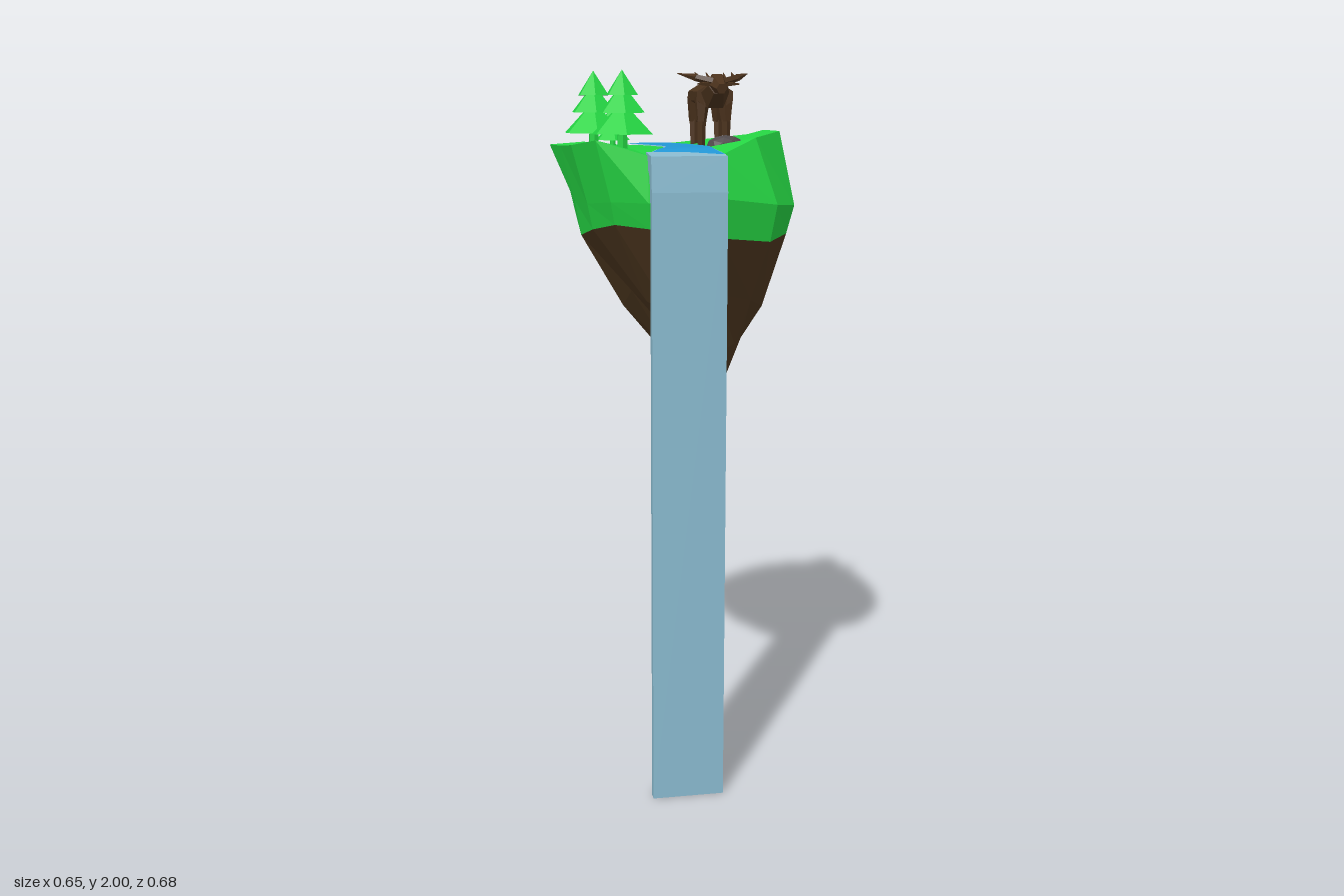
import * as THREE from 'three';

const mat = (name, color, extra = {}) => {
  const m = new THREE.MeshStandardMaterial({ color, flatShading: true, ...extra });
  m.name = name;
  return m;
};

export function createModel() {
  const root = new THREE.Group();
  root.name = 'floatingIsland';
  const grass = mat('grass green', 0x25d543);
  const earth = mat('earth brown', 0x4f3820);
  const hide = mat('hide brown', 0x4c331d);
  const water = mat('river blue', 0x2297d6, { side: THREE.DoubleSide });
  const foam = mat('waterfall blue', 0x8abbd0, { side: THREE.DoubleSide });
  const stone = mat('stone grey', 0x504a4c);

  const add = (parent, name, geo, material) => {
    const m = new THREE.Mesh(geo, material);
    m.name = name;
    parent.add(m);
    return m;
  };

  // Skin through closed rings, listed from top to bottom
  const loft = (rings) => {
    const p = [];
    for (let r = 0; r + 1 < rings.length; r++) {
      const a = rings[r], b = rings[r + 1], n = a.length;
      for (let i = 0; i < n; i++) {
        const j = (i + 1) % n;
        p.push(...a[i], ...a[j], ...b[i], ...a[j], ...b[j], ...b[i]);
      }
    }
    const g = new THREE.BufferGeometry();
    g.setAttribute('position', new THREE.Float32BufferAttribute(p, 3));
    g.computeVertexNormals();
    return g;
  };

  // Island rings
  const rim = [
    [-0.325, 1.80, -0.13], [-0.22, 1.805, -0.21], [-0.12, 1.795, -0.28], [-0.02, 1.79, -0.322],
    [0.09, 1.80, -0.325], [0.165, 1.81, -0.285], [0.26, 1.825, -0.177], [0.277, 1.84, -0.05],
    [0.28, 1.84, 0.12], [0.19, 1.825, 0.22], [0.08, 1.78, 0.28], [-0.11, 1.782, 0.275],
    [-0.24, 1.82, 0.226], [-0.292, 1.805, 0.12], [-0.308, 1.80, -0.01],
  ];
  const belly = [
    [-0.27, 1.67, -0.12], [-0.20, 1.66, -0.22], [-0.137, 1.67, -0.30], [-0.02, 1.65, -0.325],
    [0.095, 1.66, -0.34], [0.165, 1.67, -0.335], [0.25, 1.66, -0.20], [0.285, 1.66, -0.05],
    [0.323, 1.64, 0.13], [0.245, 1.65, 0.25], [0.09, 1.67, 0.305], [-0.11, 1.66, 0.29],
    [-0.20, 1.66, 0.22], [-0.25, 1.65, 0.12], [-0.27, 1.65, 0],
  ];
  const toward = (ring, t, cx, cz, y) => ring.map(([px, , pz], i) =>
    [px + (cx - px) * t, y(i), pz + (cz - pz) * t]);
  const centre = toward(rim, 1, 0, 0, () => 1.79);
  const meadow = toward(rim, 0.5, 0, 0, () => 1.792);
  const seam = toward(belly, 0.06, 0, -0.02, (i) => 1.575 + 0.025 * Math.sin(i * 1.1 + 1.2));
  const mid = toward(seam, 0.31, 0.13, -0.05, (i) => 1.38 + 0.03 * Math.sin(i * 2.1));
  const low = toward(seam, 0.6, 0.13, -0.035, (i) => 1.24 + 0.02 * Math.sin(i * 1.7));
  const foot = toward(seam, 0.83, 0.13, -0.025, () => 1.137);
  const tip = toward(seam, 1, 0.13, -0.025, () => 1.132);
  add(root, 'grassTop', loft([centre, meadow, rim, belly, seam]), grass);
  add(root, 'earthBase', loft([seam, mid, low, foot, tip]), earth);

  // River ribbon: [left x, z, right x, z, height]
  const course = [
    [-0.11, -0.285, -0.01, -0.322, 1.798], [-0.09, -0.22, 0.035, -0.245, 1.8],
    [-0.08, -0.17, 0.065, -0.155, 1.8], [-0.055, -0.06, 0.08, -0.055, 1.8],
    [-0.03, 0.07, 0.09, 0.06, 1.8], [-0.04, 0.155, 0.085, 0.155, 1.8],
    [-0.07, 0.21, 0.078, 0.215, 1.797], [-0.105, 0.262, 0.09, 0.293, 1.786],
  ];
  const ribbon = (grow, drop) => {
    const p = [], idx = [];
    course.forEach(([lx, lz, rx, rz, y], i) => {
      p.push(lx - grow, y - drop, lz, rx + grow, y - drop, rz);
      const k = i * 2;
      if (i) idx.push(k - 2, k, k - 1, k - 1, k, k + 1);
    });
    const g = new THREE.BufferGeometry();
    g.setAttribute('position', new THREE.Float32BufferAttribute(p, 3));
    g.setIndex(idx);
    g.computeVertexNormals();
    return g;
  };
  add(root, 'river', ribbon(0, 0), water);
  add(root, 'riverBank', ribbon(0.006, 0.002), foam);

  // Waterfall: side profile (z, y) swept across x
  const profile = [[0.25, 1.79], [0.33, 1.782], [0.34, 1.69], [0.34, 0], [0.315, 0],
    [0.315, 1.66], [0.305, 1.73], [0.25, 1.765]].map(([z, y]) => new THREE.Vector2(z, y));
  const fall = new THREE.ExtrudeGeometry(new THREE.Shape(profile), { depth: 0.2, bevelEnabled: false });
  fall.rotateY(-Math.PI / 2).translate(0.09, 0, 0);
  add(root, 'waterfall', fall, foam);

  // Boulder
  const rock = add(root, 'boulder', new THREE.IcosahedronGeometry(1, 1), stone);
  rock.scale.set(0.056, 0.03, 0.044);
  rock.position.set(0.155, 1.797, 0.003);
  rock.rotation.y = 0.3;

  // Pine trees: three stacked hexagonal tiers
  const tree = (x, y, z, s) => {
    const g = new THREE.Group();
    g.name = 'pineTree';
    add(g, 'trunk', new THREE.CylinderGeometry(0.013, 0.015, 0.06, 6).translate(0, 0.02, 0), grass);
    [[0.086, 0.035, 0.085], [0.064, 0.09, 0.075], [0.045, 0.135, 0.065]].forEach(([r, base, h]) =>
      add(g, 'foliage', new THREE.ConeGeometry(r, h, 6).translate(0, base + h / 2, 0), grass));
    g.position.set(x, y, z);
    g.scale.setScalar(s);
    root.add(g);
  };
  tree(-0.218, 1.8, 0.023, 1);
  tree(-0.163, 1.8, 0.187, 1);
  tree(-0.143, 1.79, -0.14, 0.61);

  // Stag, facing +z
  const stag = new THREE.Group();
  stag.name = 'stag';
  stag.position.x = 0.142;
  root.add(stag);
  const limb = (name, a, b, r1, r2, sides = 6, flat = 1) => {
    const p = new THREE.Vector3(...a), q = new THREE.Vector3(...b);
    const d = q.clone().sub(p);
    const geo = new THREE.CylinderGeometry(r2, r1, d.length(), sides);
    geo.rotateY(Math.PI / sides);
    const m = add(stag, name, geo, hide);
    m.position.copy(p).add(q).multiplyScalar(0.5);
    m.quaternion.setFromUnitVectors(new THREE.Vector3(0, 1, 0), d.normalize());
    m.scale.z = flat;
  };
  limb('body', [0, 1.935, -0.225], [0, 1.933, -0.08], 0.054, 0.056, 8, 0.62);
  limb('neck', [0, 1.935, -0.095], [0, 1.962, -0.04], 0.045, 0.028);
  limb('head', [0, 1.968, -0.06], [0, 1.953, 0.009], 0.03, 0.015);
  for (const s of [-1, 1]) {
    for (const [name, z, bend] of [['frontLeg', -0.1, 0.004], ['hindLeg', -0.205, -0.01]]) {
      limb(name, [s * 0.034, 1.93, z], [s * 0.036, 1.862, z + bend], 0.024, 0.014, 5);
      limb(name, [s * 0.036, 1.868, z + bend], [s * 0.036, 1.785, z], 0.013, 0.011, 5);
    }
    limb('ear', [s * 0.02, 1.967, -0.045], [s * 0.06, 1.966, -0.036], 0.01, 0.002, 4);
    limb('antler', [s * 0.012, 1.972, -0.04], [s * 0.06, 1.984, -0.062], 0.012, 0.01, 5);
    limb('antler', [s * 0.057, 1.983, -0.058], [s * 0.102, 1.996, -0.118], 0.011, 0.001, 5);
    limb('antlerProng', [s * 0.05, 1.98, -0.055], [s * 0.053, 1.999, -0.112], 0.008, 0.001, 5);
    limb('antlerProng', [s * 0.022, 1.975, -0.045], [s * 0.025, 1.998, -0.09], 0.007, 0.001, 5);
  }
  limb('tail', [0, 1.955, -0.215], [0, 1.925, -0.23], 0.01, 0.004, 5);

  return root;
}
